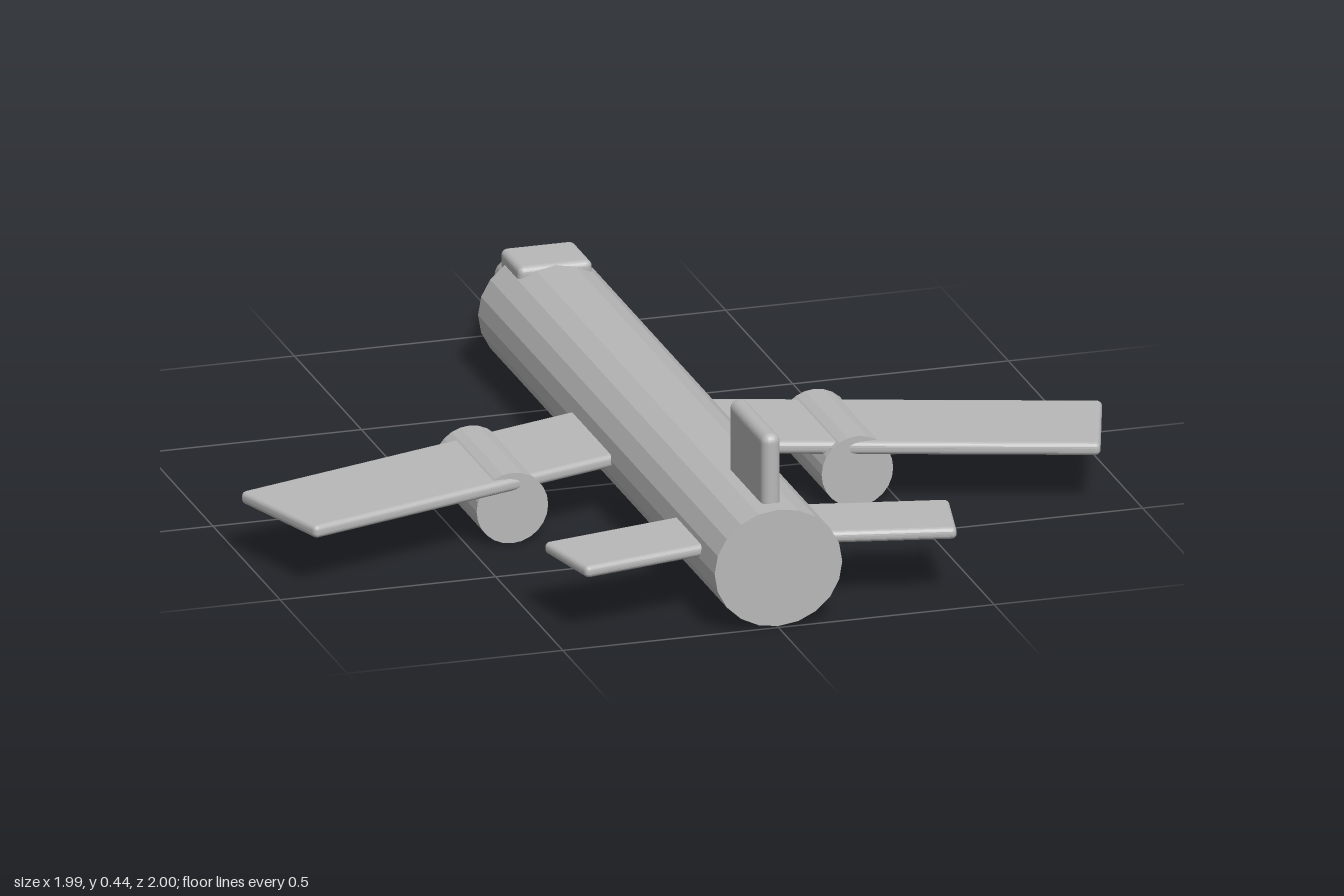
import * as THREE from 'three';
import { RoundedBoxGeometry } from 'three/addons/geometries/RoundedBoxGeometry.js';

export function createModel() {
  const model = new THREE.Group();
  model.name = 'airplane';
  const grey = new THREE.MeshStandardMaterial({ color: 0xb8b8b8, flatShading: true });
  grey.name = 'plain grey';

  const add = (name, geometry, x, y, z) => {
    const mesh = new THREE.Mesh(geometry, grey);
    mesh.name = name;
    mesh.position.set(x, y, z);
    model.add(mesh);
    return mesh;
  };

  // Closed tube along z: rFront at the nose end (-z), rBack at the tail end (+z)
  const tube = (rFront, rBack, zFront, zBack, sides = 20) =>
    new THREE.CylinderGeometry(rBack, rFront, zBack - zFront, sides)
      .rotateX(Math.PI / 2)
      .translate(0, 0, (zFront + zBack) / 2);

  // Swept panel: its outer end is centred on (tipX, tipZ) and it runs inward into the fuselage
  const sweptPanel = (name, side, tipX, y, tipZ, length, thickness, chord, sweepDeg) => {
    const a = THREE.MathUtils.degToRad(sweepDeg);
    const x = tipX - Math.cos(a) * length / 2;
    const z = tipZ - Math.sin(a) * length / 2;
    const panel = add(name, new RoundedBoxGeometry(length, thickness, chord, 3, 0.012), side * x, y, z);
    panel.rotation.y = -side * a;
  };

  // Slightly oval fuselage and blunt nose cone
  add('fuselage', tube(1, 1, -0.763, 1).scale(0.148, 0.137, 1), 0, 0.143, 0);
  add('noseCone', tube(0.036, 0.113, -1, -0.755), 0, 0.143, 0);

  // Cockpit block and upright tail fin
  add('cockpit', new RoundedBoxGeometry(0.172, 0.05, 0.145, 3, 0.015), 0, 0.258, -0.728);
  add('tailFin', new RoundedBoxGeometry(0.043, 0.24, 0.262, 4, 0.02), 0, 0.319, 0.825);

  // Mirrored wings, tailplanes and engines
  for (const [side, label] of [[1, 'left'], [-1, 'right']]) {
    sweptPanel(label + 'Wing', side, 0.955, 0.14, 0.337, 0.94, 0.03, 0.29, 18);
    sweptPanel(label + 'Tailplane', side, 0.45, 0.159, 0.855, 0.42, 0.028, 0.196, 12);
    add(label + 'Engine', tube(0.083, 0.083, -0.018, 0.303, 24), side * 0.4, 0.0855, 0);
  }
  return model;
}
